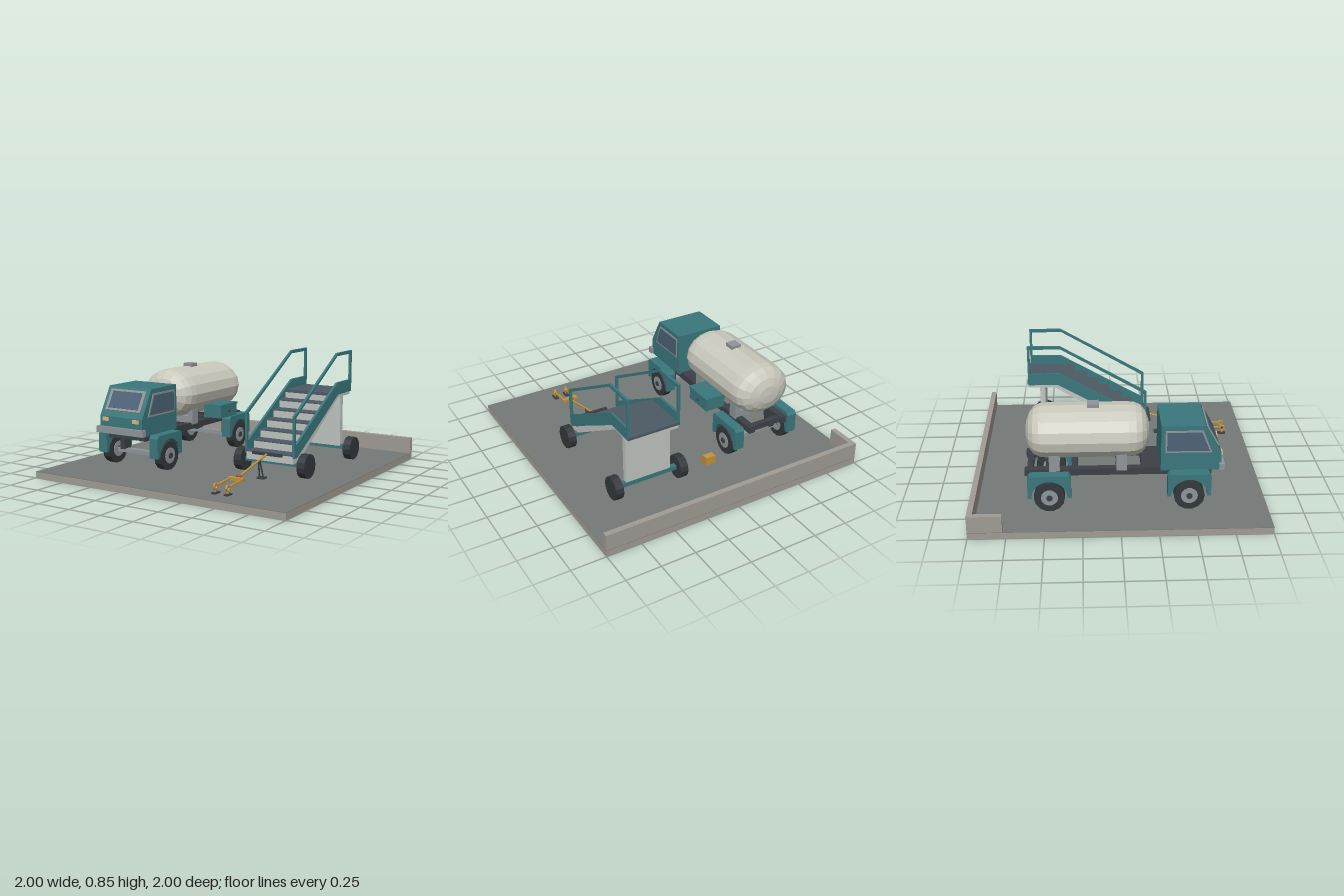
import * as THREE from 'three';

const mat = (color) => new THREE.MeshStandardMaterial({ color, flatShading: true, side: THREE.DoubleSide });
const M = {
  teal: mat(0x3a777c), dark: mat(0x3c4045), tyre: mat(0x33383c), cream: mat(0xc9c9bd), white: mat(0xbfc5c0),
  grey: mat(0x8f959a), glass: mat(0x4d6276), tread: mat(0x4c5a64), gold: mat(0xc0923a), lamp: mat(0xd9b877),
  red: mat(0xb0503c), concrete: mat(0xa09c94), asphalt: mat(0x747977),
};

function add(parent, name, geo, m) {
  const mesh = new THREE.Mesh(geo, m);
  mesh.name = name;
  parent.add(mesh);
  return mesh;
}

// box given by its min and max on each axis
function box(parent, name, m, x0, x1, y0, y1, z0, z1) {
  const mesh = add(parent, name, new THREE.BoxGeometry(x1 - x0, y1 - y0, z1 - z0), m);
  mesh.position.set((x0 + x1) / 2, (y0 + y1) / 2, (z0 + z1) / 2);
  return mesh;
}

// side profile of [z, y] points, extruded from x0 to x1
function profile(parent, name, m, pts, x0, x1) {
  const shape = pts instanceof THREE.Shape ? pts : new THREE.Shape(pts.map((p) => new THREE.Vector2(...p)));
  const geo = new THREE.ExtrudeGeometry(shape, { depth: x1 - x0, bevelEnabled: false, curveSegments: 8 });
  geo.rotateY(-Math.PI / 2).translate(x1, 0, 0);
  return add(parent, name, geo, m);
}

// square or round bar between two points
function bar(parent, name, m, a, b, r, sides = 4) {
  const p = new THREE.Vector3(...a), q = new THREE.Vector3(...b);
  const d = q.clone().sub(p);
  const geo = new THREE.CylinderGeometry(r, r, d.length(), sides);
  if (sides === 4) geo.rotateY(Math.PI / 4);
  const mesh = add(parent, name, geo, m);
  mesh.position.copy(p).add(q).multiplyScalar(0.5);
  mesh.quaternion.setFromUnitVectors(new THREE.Vector3(0, 1, 0), d.normalize());
  return mesh;
}

function wheel(parent, name, x, y, z, r, w, hub) {
  const g = new THREE.Group();
  g.name = name;
  const disc = (n, m, rad, width) => add(g, n, new THREE.CylinderGeometry(rad, rad, width, 14).rotateZ(Math.PI / 2), m);
  disc('tyre', M.tyre, r, w);
  if (hub) {
    disc('rim', M.grey, r * 0.55, w + 0.008);
    disc('hubCap', M.dark, r * 0.2, w + 0.022);
  }
  g.position.set(x, y, z);
  parent.add(g);
}

function buildGround(root) {
  const g = new THREE.Group();
  g.name = 'ground';
  box(g, 'slab', M.concrete, -1, 1, 0, 0.044, -1, 1);
  box(g, 'asphalt', M.asphalt, -1, 1, 0.044, 0.047, -1, 1);
  box(g, 'backWall', M.concrete, -1, 1, 0.04, 0.165, -1, -0.962);
  box(g, 'sideWall', M.concrete, -1, -0.962, 0.04, 0.165, -0.962, -0.77);
  profile(g, 'wheelChock', M.gold, [[-0.55, 0.047], [-0.455, 0.047], [-0.5, 0.11], [-0.55, 0.11]], -0.105, -0.03);
  root.add(g);
}

// tank truck, modelled around x = 0
function buildTruck(root) {
  const t = new THREE.Group();
  t.name = 'tankTruck';
  t.position.x = -0.487;
  root.add(t);

  // chassis
  for (const s of [-1, 1]) box(t, 'chassisRail', M.dark, s * 0.135 - 0.025, s * 0.135 + 0.025, 0.265, 0.312, -0.635, 0.62);
  for (const z of [-0.6, -0.3, 0, 0.6]) box(t, 'crossMember', M.dark, -0.12, 0.12, 0.268, 0.308, z - 0.02, z + 0.02);
  box(t, 'deckBehindCab', M.dark, -0.16, 0.16, 0.27, 0.315, 0.15, 0.3);

  // axles, wheels and arched fenders
  for (const z of [0.465, -0.47]) {
    box(t, 'axle', M.grey, -0.21, 0.21, 0.135, 0.165, z - 0.02, z + 0.02);
    const f = new THREE.Shape();
    f.moveTo(z + 0.145, 0.148);
    f.lineTo(z + 0.145, 0.29);
    f.lineTo(z + 0.13, 0.31);
    f.lineTo(z - 0.13, 0.31);
    f.lineTo(z - 0.145, 0.29);
    f.lineTo(z - 0.145, 0.148);
    f.lineTo(z - 0.12, 0.148);
    f.absarc(z, 0.152, 0.12, Math.PI, 0, true);
    for (const s of [-1, 1]) {
      box(t, 'suspensionBlock', M.dark, s * 0.135 - 0.02, s * 0.135 + 0.02, 0.16, 0.27, z - 0.035, z + 0.035);
      wheel(t, 'truckWheel', s * 0.23, 0.152, z, 0.104, 0.06, true);
      profile(t, 'fender', M.teal, f, s * 0.226 - 0.036, s * 0.226 + 0.036);
    }
  }

  // cab
  profile(t, 'cab', M.teal, [[0.275, 0.305], [0.68, 0.305], [0.68, 0.43], [0.57, 0.63], [0.275, 0.63]], -0.184, 0.184);
  for (const s of [-1, 1]) {
    const win = (n, m, e, d) => profile(t, n, m, [[0.315 - e, 0.45 - e], [0.6 + e * 1.4, 0.45 - e],
      [0.545 + e * 0.7, 0.585 + e], [0.315 - e, 0.585 + e]], s * 0.182 - d, s * 0.182 + d);
    win('sideWindowFrame', M.grey, 0.012, 0.007);
    win('sideWindow', M.glass, 0, 0.009);
    box(t, 'headlight', M.lamp, s * 0.132 - 0.024, s * 0.132 + 0.024, 0.398, 0.424, 0.67, 0.692);
  }
  const screen = new THREE.Group();
  screen.name = 'windscreen';
  screen.position.set(0, 0.54, 0.6195);
  screen.rotation.x = -Math.atan2(0.11, 0.2);
  box(screen, 'windscreenFrame', M.grey, -0.153, 0.153, -0.08, 0.08, -0.01, 0.008);
  box(screen, 'windscreenGlass', M.glass, -0.128, 0.128, -0.063, 0.063, -0.01, 0.011);
  t.add(screen);
  box(t, 'bumper', M.grey, -0.205, 0.205, 0.312, 0.358, 0.665, 0.702);

  // oval tank with domed ends
  const half = [[0, 0.418], [0.08, 0.412], [0.145, 0.392], [0.19, 0.362], [0.213, 0.322], [0.22, 0.27]];
  const pts = [...half.map(([r, h]) => [r, -h]), ...half.slice().reverse()].map((p) => new THREE.Vector2(...p));
  const tank = add(t, 'tank', new THREE.LatheGeometry(pts, 16).rotateX(Math.PI / 2).scale(1, 0.82, 1), M.cream);
  tank.position.set(0, 0.53, -0.21);
  box(t, 'tankHatch', M.grey, -0.038, 0.038, 0.69, 0.73, -0.21, -0.132);
  for (const z of [0.015, -0.435]) {
    for (const s of [-1, 1]) box(t, 'tankSupport', M.grey, s * 0.15 - 0.02, s * 0.15 + 0.02, 0.3, 0.43, z - 0.036, z + 0.036);
    box(t, 'tankSaddle', M.grey, -0.13, 0.13, 0.31, 0.36, z - 0.036, z + 0.036);
  }

  // tool box
  box(t, 'toolBox', M.teal, 0.17, 0.322, 0.335, 0.424, -0.327, -0.103);
  box(t, 'toolBoxLid', M.teal, 0.165, 0.326, 0.42, 0.436, -0.331, -0.099);
  box(t, 'toolBoxLatch', M.dark, 0.32, 0.33, 0.37, 0.385, -0.222, -0.207);
}

// towable stairs, modelled around x = 0
function buildStairs(root) {
  const g = new THREE.Group();
  g.name = 'boardingStairs';
  g.position.x = 0.448;
  root.add(g);

  for (const z of [0.172, -0.545]) {
    box(g, 'stairAxle', M.teal, -0.25, 0.25, 0.118, 0.15, z - 0.018, z + 0.018);
    for (const s of [-1, 1]) wheel(g, 'stairWheel', s * 0.25, 0.131, z, 0.084, 0.058, false);
  }

  // solid flight with a sawtooth top
  const n = 7, z0 = 0.235, run = 0.091, y0 = 0.145, rise = 0.059;
  const saw = [[0.16, 0.145], [z0, y0]];
  for (let i = 0; i < n; i++) {
    const y = y0 + (i + 1) * rise, z = z0 - i * run;
    saw.push([z, y], [z - run, y]);
    if (i < n - 1) box(g, 'tread', M.tread, -0.183, 0.183, y - 0.004, y + 0.005, z - run, z + 0.008);
  }
  saw.push([-0.645, y0 + n * rise], [-0.645, 0.518], [-0.45, 0.518]);
  profile(g, 'flight', M.white, saw, -0.183, 0.183);
  box(g, 'platform', M.tread, -0.19, 0.19, 0.545, 0.565, -0.652, -0.31);
  box(g, 'platformSupport', M.white, -0.17, 0.17, 0.14, 0.53, -0.56, -0.522);

  // stringers and handrails
  for (const s of [-1, 1]) {
    const x = s * 0.187;
    profile(g, 'stringer', M.teal, [[0.235, 0.262], [-0.412, 0.63], [-0.645, 0.63], [-0.645, 0.542],
      [-0.425, 0.542], [0.2, 0.185], [0.235, 0.185]], x - 0.009, x + 0.009);
    profile(g, 'handrail', M.teal, [[0.238, 0.2], [0.238, 0.476], [-0.408, 0.846], [-0.646, 0.846], [-0.646, 0.6],
      [-0.628, 0.6], [-0.628, 0.824], [-0.402, 0.824], [0.218, 0.464], [0.218, 0.2]], x - 0.009, x + 0.009);
  }

  // tow bar with prop stand
  box(g, 'towBarMount', M.dark, -0.115, 0.115, 0.193, 0.213, 0.255, 0.277);
  bar(g, 'towBar', M.gold, [0, 0.206, 0.26], [0, 0.11, 0.67], 0.008, 8);
  bar(g, 'towCollar', M.red, [0, 0.123, 0.625], [0, 0.117, 0.65], 0.015, 8);
  for (const s of [-1, 1]) bar(g, 'propStrut', M.dark, [s * 0.005, 0.18, 0.375], [s * 0.015, 0.055, 0.343], 0.006, 6);
  box(g, 'propFoot', M.dark, -0.027, 0.027, 0.047, 0.058, 0.313, 0.363);

  // fork with tow eyes resting on pads
  box(g, 'forkCrossbar', M.gold, -0.058, 0.058, 0.1, 0.122, 0.653, 0.682);
  for (const s of [-1, 1]) {
    const x = s * 0.046;
    bar(g, 'forkArm', M.gold, [x, 0.11, 0.67], [x, 0.097, 0.825], 0.009);
    const eye = add(g, 'towEye', new THREE.TorusGeometry(0.017, 0.007, 6, 12).rotateY(Math.PI / 2), M.gold);
    eye.position.set(x, 0.094, 0.845);
    box(g, 'eyePost', M.gold, x - 0.005, x + 0.005, 0.055, 0.075, 0.838, 0.852);
    box(g, 'eyePad', M.dark, x - 0.015, x + 0.015, 0.047, 0.057, 0.81, 0.87);
  }
}

export function createModel() {
  const root = new THREE.Group();
  root.name = 'airportGroundEquipment';
  buildGround(root);
  buildTruck(root);
  buildStairs(root);
  return root;
}
